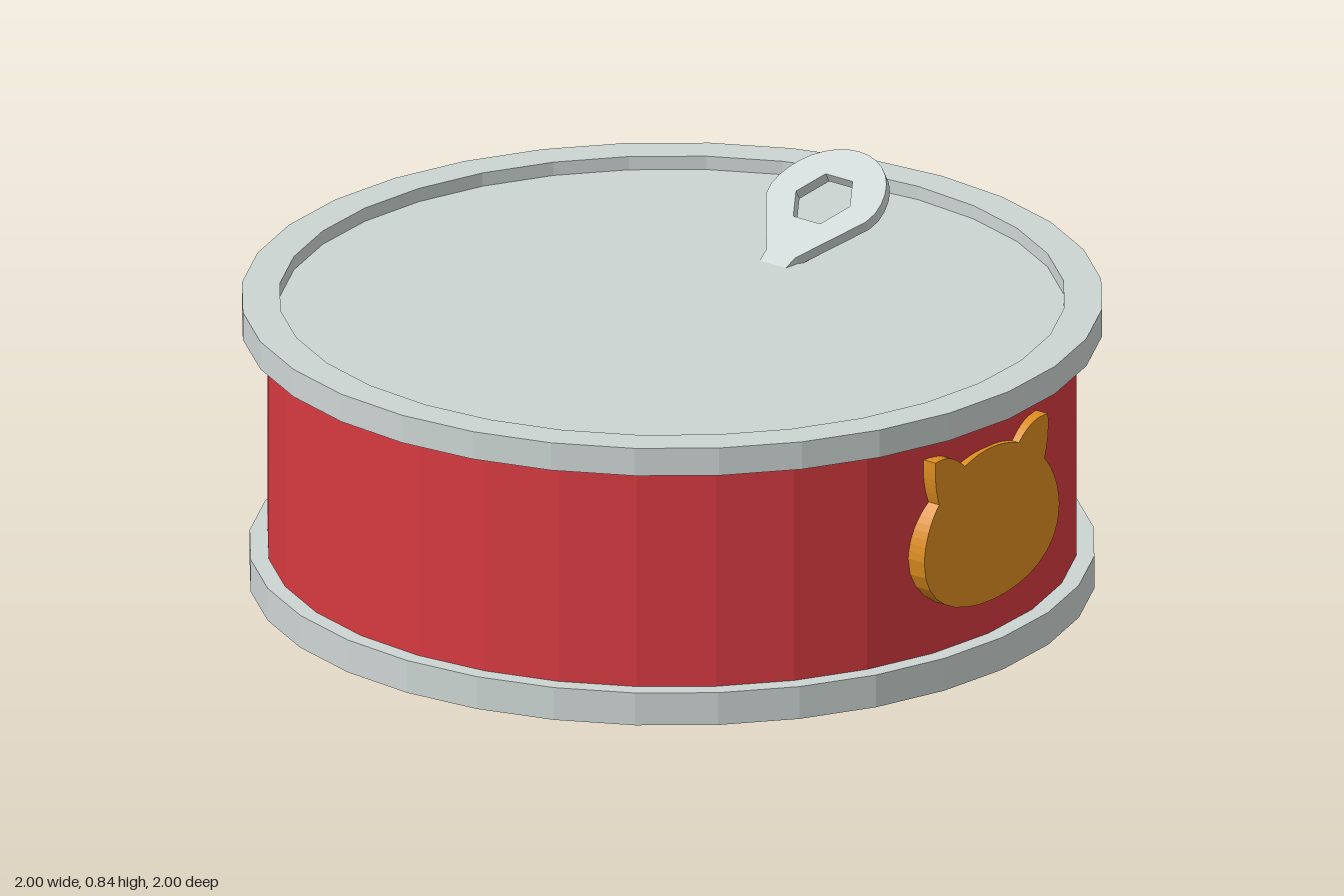
import * as THREE from 'three';

const SIDES = 32;
const paint = (color) => new THREE.MeshStandardMaterial({ color, flatShading: true });

export function createModel() {
  const model = new THREE.Group();
  const metal = paint(0xccd5d3);
  const red = paint(0xd63a40);
  const orange = paint(0xdb8c1f);

  const add = (name, geometry, material) => {
    const mesh = new THREE.Mesh(geometry, material);
    mesh.name = name;
    model.add(mesh);
    return mesh;
  };
  const lathe = (pairs) =>
    new THREE.LatheGeometry(pairs.map(([r, y]) => new THREE.Vector2(r, y)), SIDES);

  // Can wall and its two rims; the lid is sunk inside the upper rim
  add('canBody', lathe([[0.94, 0.07], [0.94, 0.64]]), red);
  add('bottomRim', lathe([[0, 0], [0.982, 0], [0.982, 0.08], [0.9, 0.08]]), metal);
  add('topRimAndLid',
    lathe([[0.9, 0.625], [1, 0.625], [1, 0.693], [0.912, 0.693], [0.912, 0.66], [0, 0.66]]), metal);

  // Pull tab: round head, tapering neck, hexagonal finger hole
  const tabShape = new THREE.Shape();
  tabShape.moveTo(-0.25, -0.035);
  tabShape.lineTo(-0.18, -0.043);
  tabShape.lineTo(-0.03, -0.148);
  tabShape.lineTo(0, -0.155);
  tabShape.absarc(0, 0, 0.155, -Math.PI / 2, Math.PI / 2, false);
  tabShape.lineTo(-0.03, 0.148);
  tabShape.lineTo(-0.18, 0.043);
  tabShape.lineTo(-0.25, 0.035);
  tabShape.closePath();
  const hole = new THREE.Path();
  for (let i = 0; i < 6; i++) {
    const a = Math.PI / 2 - (i * Math.PI) / 3;
    const x = 0.08 * Math.cos(a), y = 0.08 * Math.sin(a);
    if (i === 0) hole.moveTo(x, y);
    else hole.lineTo(x, y);
  }
  hole.closePath();
  tabShape.holes.push(hole);
  const tabGeometry = new THREE.ExtrudeGeometry(tabShape, { depth: 0.026, bevelEnabled: false, curveSegments: 8 });
  tabGeometry.translate(0, 0, -0.013).rotateX(-Math.PI / 2);
  const tab = add('pullTab', tabGeometry, metal);
  tab.position.set(0.565, 0.756, 0);
  tab.rotation.z = Math.PI / 6;

  // Cat head badge on the front of the wall
  const cat = new THREE.Shape();
  cat.moveTo(0, 0.165);
  cat.bezierCurveTo(0.13, 0.165, 0.25, 0.215, 0.25, 0.33);
  cat.quadraticCurveTo(0.245, 0.405, 0.195, 0.458);
  cat.quadraticCurveTo(0.213, 0.51, 0.208, 0.565);
  cat.quadraticCurveTo(0.15, 0.575, 0.1, 0.525);
  cat.quadraticCurveTo(0, 0.562, -0.1, 0.525);
  cat.quadraticCurveTo(-0.15, 0.575, -0.208, 0.565);
  cat.quadraticCurveTo(-0.213, 0.51, -0.195, 0.458);
  cat.quadraticCurveTo(-0.245, 0.405, -0.25, 0.33);
  cat.bezierCurveTo(-0.25, 0.215, -0.13, 0.165, 0, 0.165);
  const badge = add('catHeadBadge',
    new THREE.ExtrudeGeometry(cat, { depth: 0.07, bevelEnabled: false, curveSegments: 8 }), orange);
  badge.position.z = 0.88;

  return model;
}
